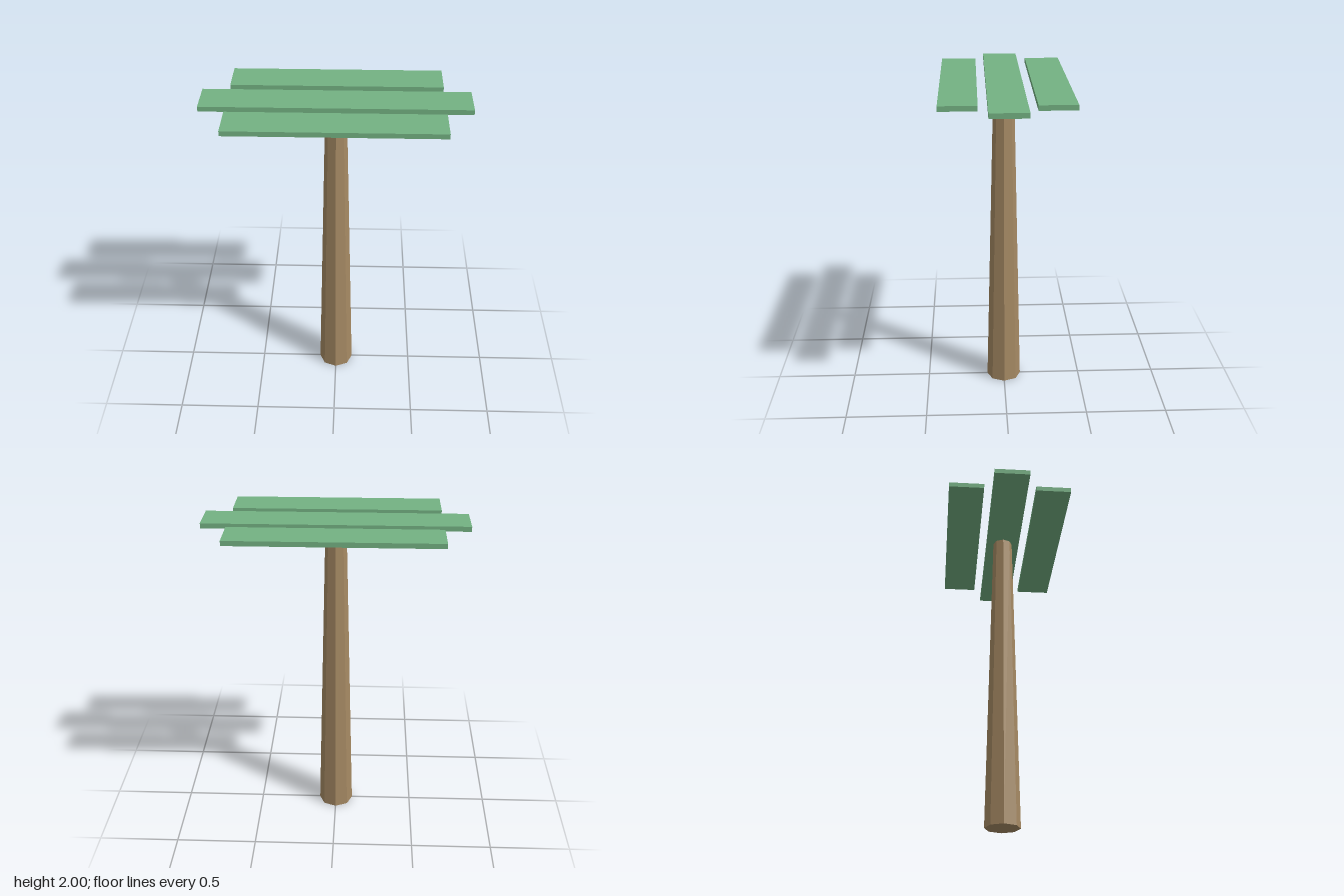
import * as THREE from 'three';

export function createModel() {
  const model = new THREE.Group();
  const bark = new THREE.MeshStandardMaterial({ color: 0xa68a64, flatShading: true });
  const leaf = new THREE.MeshStandardMaterial({ color: 0x74b283, flatShading: true });

  const height = 2, thickness = 0.03, width = 0.217;
  const trunkHeight = height - thickness;

  // Tapered eight-sided trunk
  const trunk = new THREE.Mesh(new THREE.CylinderGeometry(0.062, 0.109, trunkHeight, 8), bark);
  trunk.name = 'trunk';
  trunk.position.y = trunkHeight / 2;
  model.add(trunk);

  // Flat canopy: a long middle slab between two shorter ones
  const addSlab = (name, length, z) => {
    const slab = new THREE.Mesh(new THREE.BoxGeometry(length, thickness, width), leaf);
    slab.name = name;
    slab.position.set(0, height - thickness / 2, z);
    model.add(slab);
  };
  addSlab('middleCanopySlab', 1.555, 0);
  addSlab('frontCanopySlab', 1.245, 0.27);
  addSlab('backCanopySlab', 1.245, -0.27);

  return model;
}
